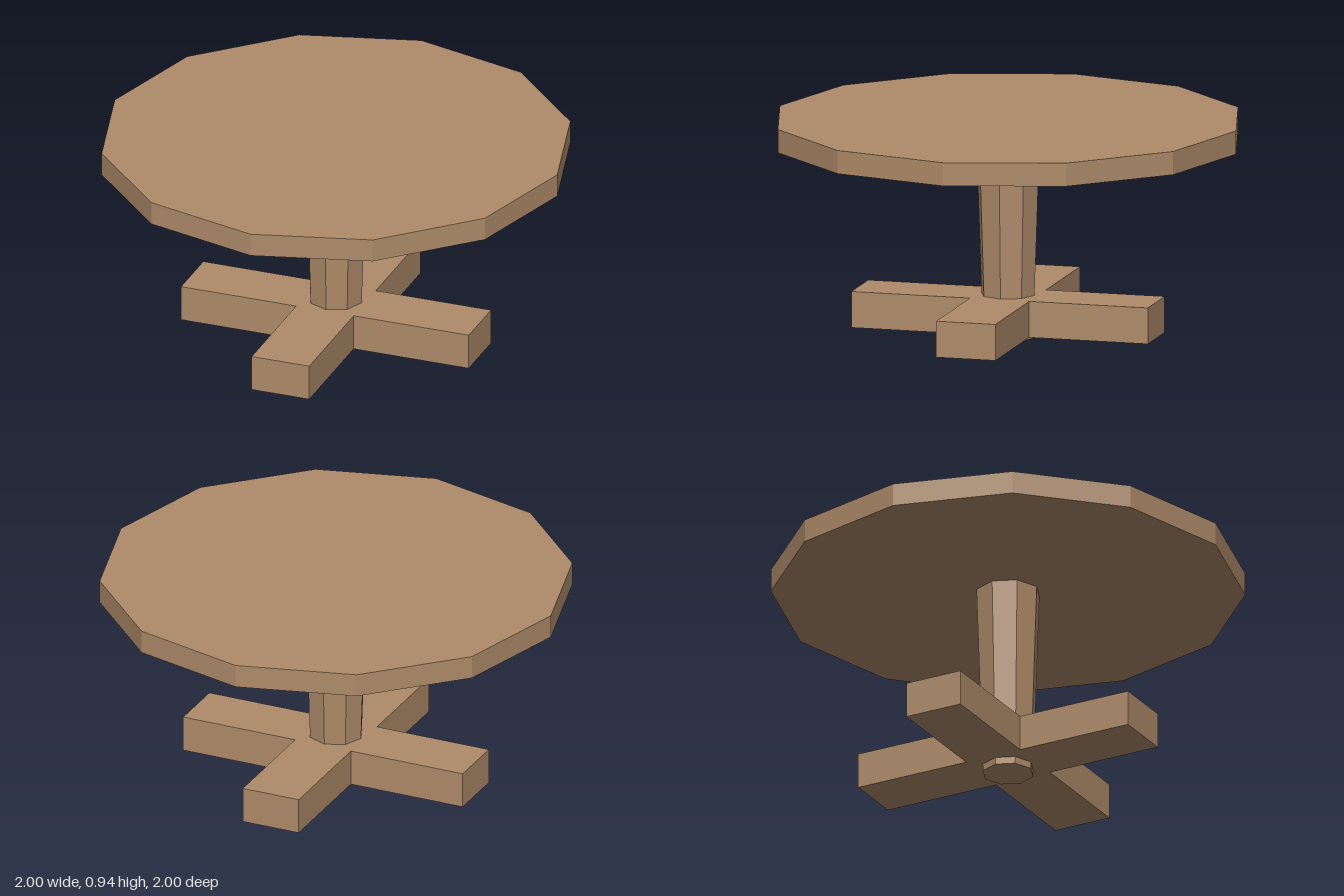
import * as THREE from 'three';

export function createModel() {
  const group = new THREE.Group();
  const wood = new THREE.MeshStandardMaterial({ color: 0xae8b69, flatShading: true });
  wood.name = 'wood';

  const add = (name, geometry, y) => {
    const mesh = new THREE.Mesh(geometry, wood);
    mesh.name = name;
    mesh.position.y = y;
    group.add(mesh);
    return mesh;
  };

  // Twelve-sided top with corners on the axes
  add('tableTop', new THREE.CylinderGeometry(1, 1, 0.1, 12), 0.89);

  // Eight-sided column, narrowing towards the floor
  add('column', new THREE.CylinderGeometry(0.138, 0.11, 0.84, 8), 0.42);

  // Cross-shaped foot: one arm outline repeated by quarter turns
  const reach = 0.65, half = 0.13;
  const outline = [];
  for (let i = 0; i < 4; i++) {
    for (const [x, y] of [[reach, -half], [reach, half], [half, half]]) {
      outline.push(new THREE.Vector2(x, y).rotateAround(new THREE.Vector2(), i * Math.PI / 2));
    }
  }
  const cross = new THREE.ExtrudeGeometry(new THREE.Shape(outline), { depth: 0.155, bevelEnabled: false });
  cross.rotateX(-Math.PI / 2);
  add('crossFoot', cross, 0.03);

  return group;
}
